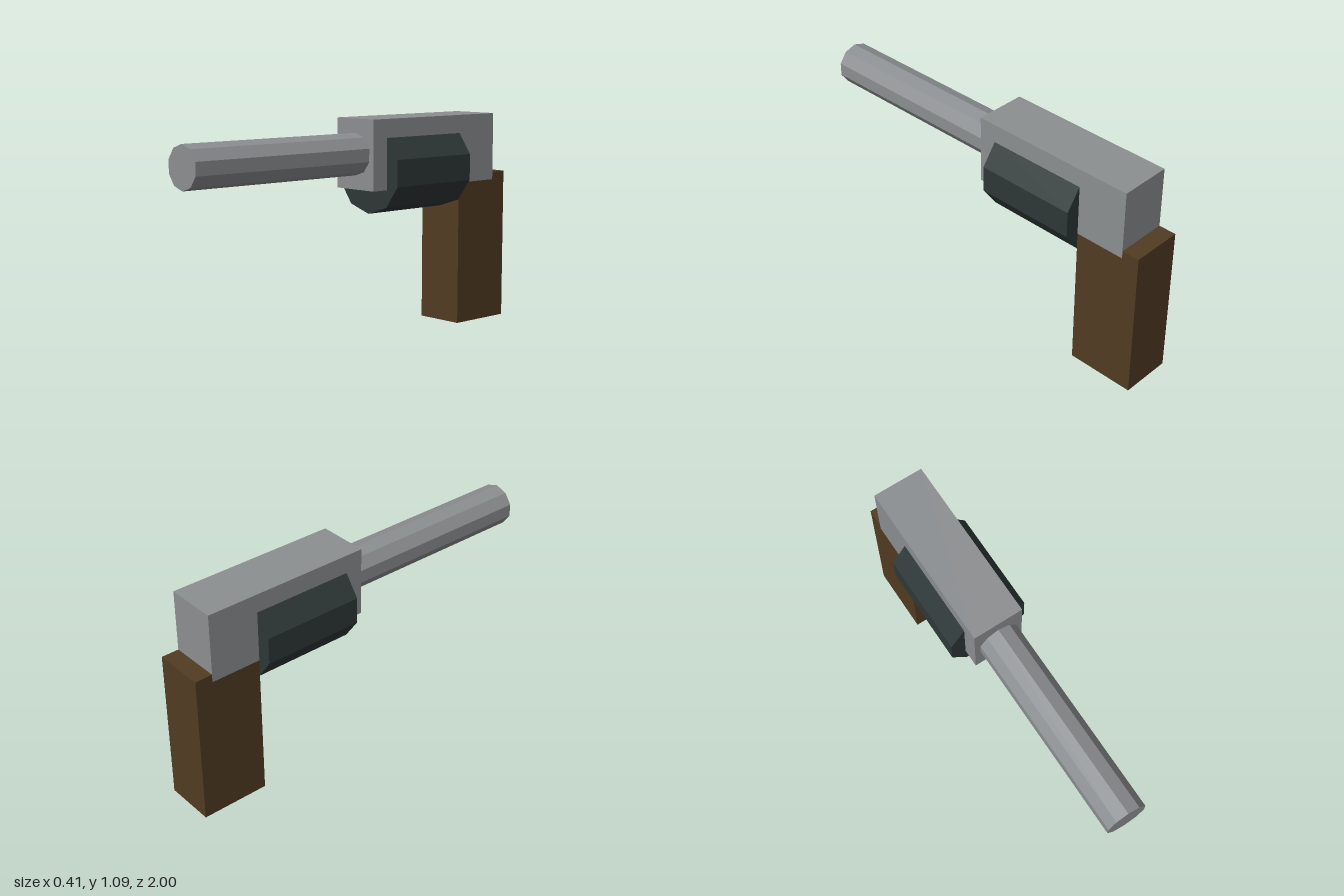
import * as THREE from 'three';

export function createModel() {
  const model = new THREE.Group();
  model.name = 'revolver';

  const makeMaterial = (name, color) => {
    const m = new THREE.MeshStandardMaterial({ color });
    m.name = name;
    return m;
  };
  const steel = makeMaterial('steel grey', 0x8c8f91);
  const darkSteel = makeMaterial('dark steel', 0x2e3737);
  const wood = makeMaterial('brown wood', 0x523b22);

  const add = (name, geometry, material, y, z) => {
    const mesh = new THREE.Mesh(geometry, material);
    mesh.name = name;
    mesh.position.set(0, y, z);
    model.add(mesh);
  };

  // Ten-sided rod lying along z, with a corner pointing straight up
  const rod = (radius, length) => {
    const faceted = new THREE.CylinderGeometry(radius, radius, length, 10)
      .rotateX(Math.PI / 2).toNonIndexed();
    faceted.computeVertexNormals();
    return faceted;
  };

  // Barrel, reaching a little way into the frame
  add('barrel', rod(0.105, 1.14), steel, 0.915, 0.43);

  // Frame, a hair wider than the grip so their sides do not coincide
  add('frame', new THREE.BoxGeometry(0.261, 0.35, 0.87), steel, 0.915, -0.475);

  // Drum
  add('drum', rod(0.216, 0.52), darkSteel, 0.827, -0.39);

  // Grip
  add('grip', new THREE.BoxGeometry(0.26, 0.78, 0.35), wood, 0.39, -0.825);

  return model;
}
